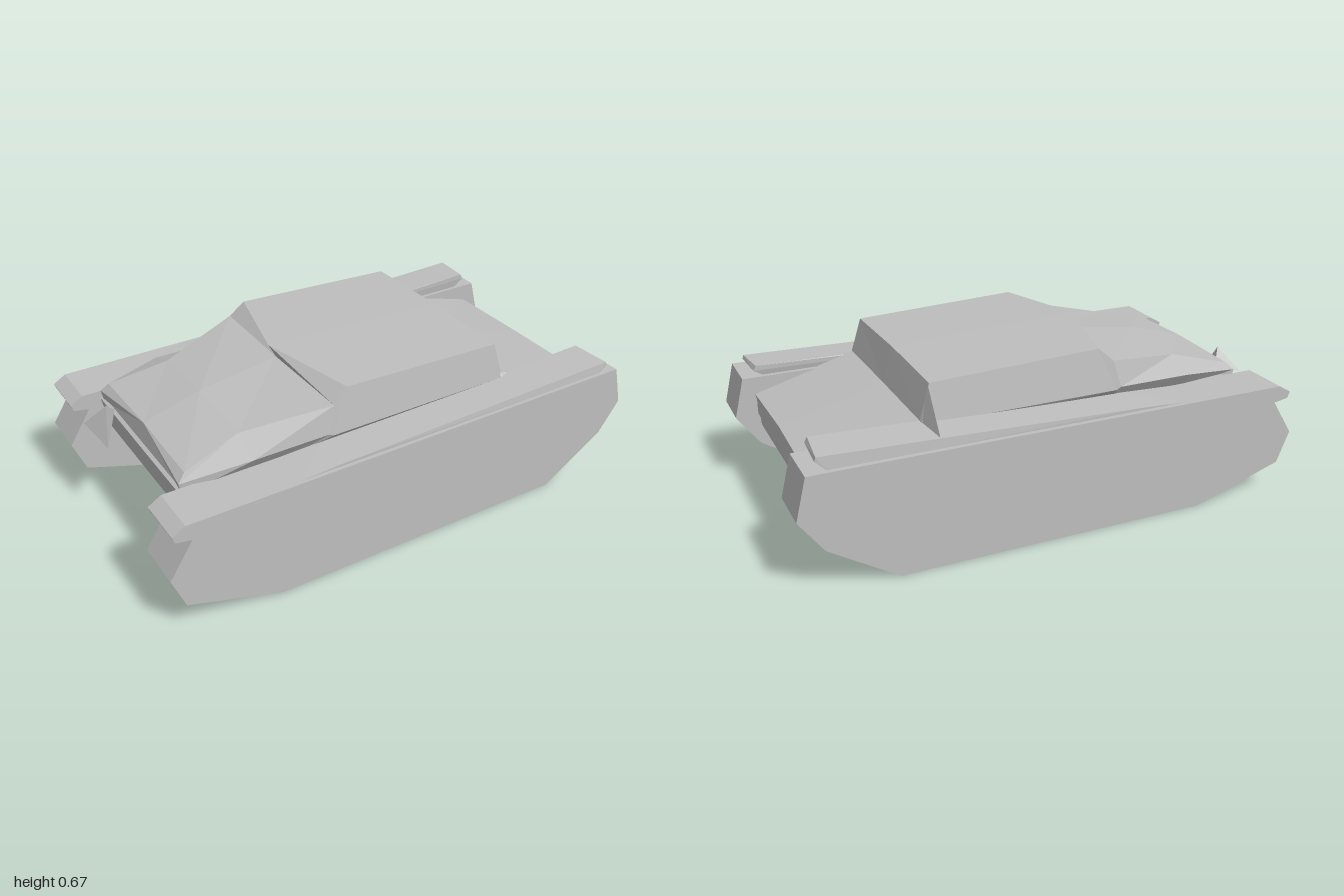
import * as THREE from 'three';
import { ConvexGeometry } from 'three/addons/geometries/ConvexGeometry.js';

const grey = new THREE.MeshStandardMaterial({ color: 0xbebebe, side: THREE.DoubleSide });
grey.name = 'plain grey';

function part(name, geometry) {
  const flat = geometry.index ? geometry.toNonIndexed() : geometry;
  flat.computeVertexNormals();
  const mesh = new THREE.Mesh(flat, grey);
  mesh.name = name;
  return mesh;
}

// Side profile in x/y, extruded from z0 to z1
function slab(name, profile, z0, z1) {
  const shape = new THREE.Shape(profile.map(([x, y]) => new THREE.Vector2(x, y)));
  const geometry = new THREE.ExtrudeGeometry(shape, { depth: z1 - z0, bevelEnabled: false });
  return part(name, geometry.translate(0, 0, z0));
}

// Solid from a few corners
function wedge(name, corners) {
  return part(name, new ConvexGeometry(corners.map((c) => new THREE.Vector3(...c))));
}

// Half sections (top centre to lower edge), mirrored in z and joined along x
function loft(name, halves) {
  const rings = halves.map((h) => [
    ...h, ...h.slice(1).reverse().map(([x, y, z]) => [x, y, -z]),
  ]);
  const n = rings[0].length;
  const index = [];
  for (let i = 0; i < rings.length - 1; i++) {
    for (let j = 0; j < n; j++) {
      const k = (j + 1) % n;
      const a = i * n + j, b = i * n + k;
      index.push(a, b, a + n, b, b + n, a + n);
    }
  }
  const last = (rings.length - 1) * n;
  for (let j = 1; j < n - 1; j++) {
    index.push(0, j + 1, j, last, last + j, last + j + 1);
  }
  const geometry = new THREE.BufferGeometry();
  geometry.setAttribute('position', new THREE.Float32BufferAttribute(rings.flat(2), 3));
  geometry.setIndex(index);
  return part(name, geometry);
}

export function createModel() {
  const model = new THREE.Group();
  model.name = 'armouredVehicle';

  // Track blocks with a notch at the rear end
  const track = [
    [-0.58, 0.005], [0.65, 0.005], [0.91, 0.17], [1, 0.295], [0.96, 0.455],
    [-0.93, 0.45], [-0.98, 0.42], [-0.97, 0.395], [-0.91, 0.385], [-1, 0.245], [-0.95, 0.12],
  ];
  model.add(slab('leftTrack', track, 0.37, 0.565));
  model.add(slab('rightTrack', track, -0.57, -0.375));

  // Lower hull between the tracks
  model.add(slab('lowerHull', [
    [-0.65, 0.16], [0.72, 0.16], [0.9, 0.25], [0.91, 0.38], [0.5, 0.46],
    [-0.8, 0.45], [-0.86, 0.42], [-0.83, 0.28],
  ], -0.374, 0.372));

  // Rear deck, cabin and sloping front deck
  model.add(loft('upperHull', [
    [[-0.83, 0.5, 0], [-0.83, 0.49, 0.345], [-0.86, 0.46, 0.36], [-0.85, 0.41, 0.36]],
    [[-0.6, 0.565, 0], [-0.6, 0.545, 0.3], [-0.6, 0.5, 0.42], [-0.6, 0.42, 0.365]],
    [[-0.28, 0.612, 0], [-0.27, 0.605, 0.405], [-0.3, 0.5, 0.42], [-0.4, 0.44, 0.38]],
    [[-0.31, 0.67, 0], [-0.21, 0.658, 0.395], [-0.28, 0.49, 0.42], [-0.3, 0.44, 0.38]],
    [[0.46, 0.64, 0], [0.46, 0.632, 0.39], [0.49, 0.485, 0.41], [0.49, 0.44, 0.38]],
    [[0.5, 0.5, 0], [0.5, 0.498, 0.395], [0.5, 0.485, 0.41], [0.5, 0.44, 0.38]],
    [[0.91, 0.392, 0], [0.915, 0.385, 0.37], [0.91, 0.36, 0.37], [0.91, 0.3, 0.37]],
  ]));

  // Thin flared corner beside the cabin front
  model.add(wedge('cabinCorner', [
    [0.465, 0.62, -0.395], [0.5, 0.49, -0.39], [0.48, 0.49, -0.54], [0.45, 0.49, -0.4],
  ]));

  // Fenders rising towards the front, undercut at the front tip
  const fender = (name, side, rear, tip) => model.add(wedge(name, [
    [rear, 0.452, side * 0.39], [rear + 0.05, 0.452, side * 0.55],
    [0.87, 0.452, side * 0.39], [0.88, 0.452, side * 0.55],
    [0.91, tip - 0.02, side * 0.385], [0.92, tip - 0.02, side * 0.545],
    [0.9, tip, side * 0.385], [0.915, tip - 0.005, side * 0.545],
    [-0.3, 0.468, side * 0.4], [-0.3, 0.462, side * 0.55],
  ]));
  fender('leftFender', 1, -0.55, 0.497);
  fender('rightFender', -1, -0.55, 0.51);

  // Small pointed fitting at the rear
  model.add(wedge('rearSpike', [
    [-0.97, 0.4, -0.265], [-0.85, 0.43, -0.25], [-0.95, 0.39, -0.07], [-0.9, 0.495, -0.19],
  ]));

  return model;
}
